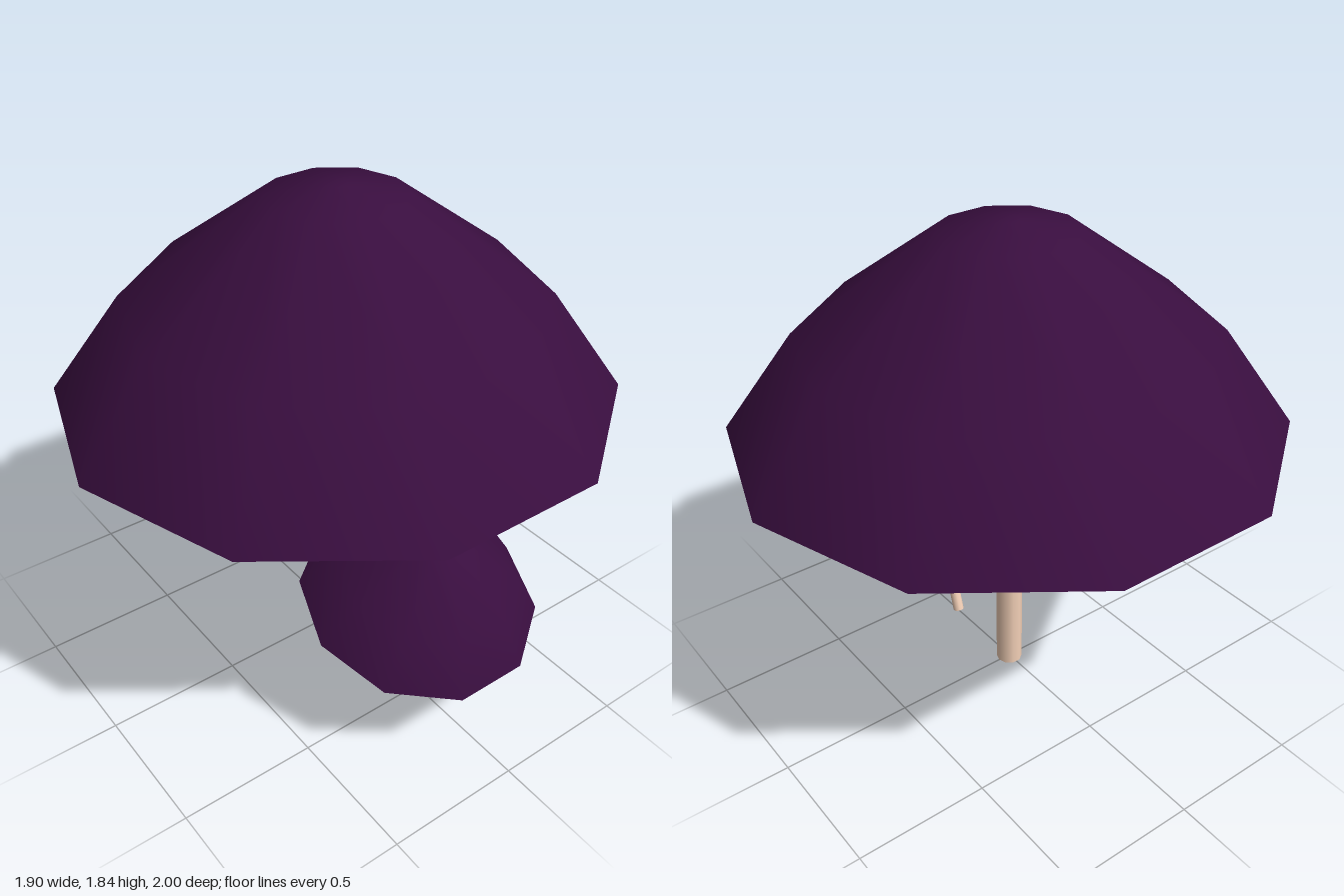
import * as THREE from 'three';

const capMaterial = new THREE.MeshStandardMaterial({ color: 0x390e3f });
const fleshMaterial = new THREE.MeshStandardMaterial({ color: 0xf3d0b7 });
const SIDES = 10;

function lathe(name, profile, material) {
  const points = profile.map(([r, y]) => new THREE.Vector2(r, y));
  const mesh = new THREE.Mesh(new THREE.LatheGeometry(points, SIDES), material);
  mesh.name = name;
  return mesh;
}

function createMushroom(name) {
  const mushroom = new THREE.Group();
  mushroom.name = name;

  // Ten-sided domed cap
  mushroom.add(lathe('cap', [[1, 1.077], [0.74, 1.438], [0.245, 1.797], [0.04, 1.836], [0, 1.836]], capMaterial));

  // Domed hollow under the cap, about half as deep as the cap is tall
  mushroom.add(lathe('capUnderside', [[0, 1.435], [0.245, 1.415], [0.74, 1.25], [1, 1.077]], fleshMaterial));

  // Stem ending inside the hollow
  const stem = new THREE.Mesh(new THREE.CylinderGeometry(0.05, 0.05, 1.225, SIDES), fleshMaterial);
  stem.name = 'stem';
  stem.position.y = 0.6125;
  mushroom.add(stem);
  return mushroom;
}

export function createModel() {
  const model = new THREE.Group();
  model.name = 'mushrooms';
  model.add(createMushroom('largeMushroom'));

  // Small copy leaning away from the large one
  const small = createMushroom('smallMushroom');
  small.scale.setScalar(0.43);
  small.rotation.z = -0.293;
  small.position.set(0.355, 0.006, 0);
  model.add(small);
  return model;
}
